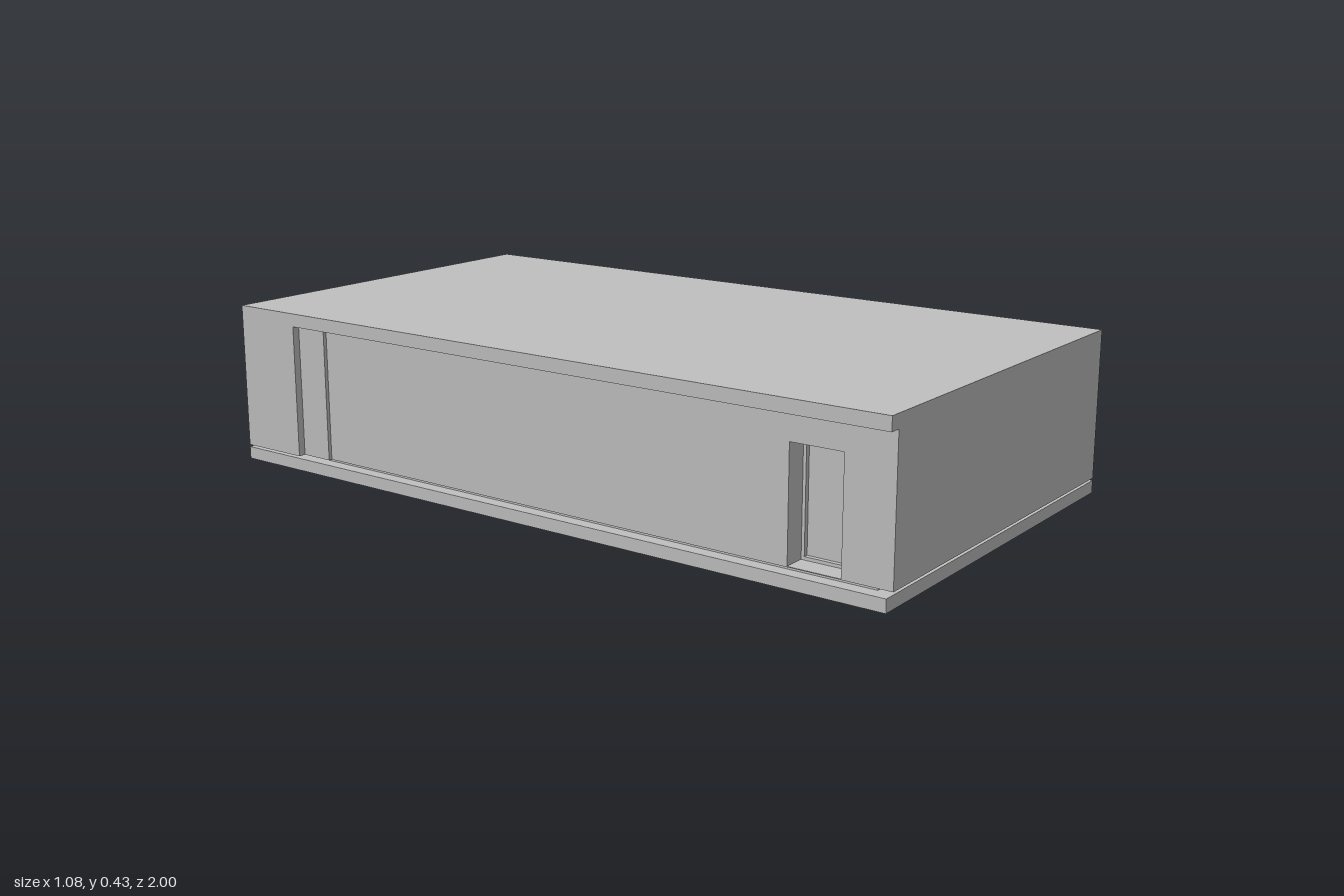
import * as THREE from 'three';

export function createModel() {
  const house = new THREE.Group();
  house.name = 'house';
  const plaster = new THREE.MeshStandardMaterial({ color: 0xc0c0c0 });
  plaster.name = 'grey plaster';

  const FLOOR = 0.039, CEIL = 0.395, RAIL = 0.18, HEAD = 0.345;

  // Box given by its limits on each axis
  function box(name, [x0, x1], [y0, y1], [z0, z1], parent = house) {
    const mesh = new THREE.Mesh(new THREE.BoxGeometry(x1 - x0, y1 - y0, z1 - z0), plaster);
    mesh.position.set((x0 + x1) / 2, (y0 + y1) / 2, (z0 + z1) / 2);
    mesh.name = name;
    parent.add(mesh);
    return mesh;
  }

  // Upright wall with openings; local z = 0 is the outer face, u runs to the viewer's right
  function wall(name, u0, u1, thickness, openings) {
    const group = new THREE.Group();
    group.name = name;
    const rect = (path, a, b, c, d) =>
      path.moveTo(a, c).lineTo(b, c).lineTo(b, d).lineTo(a, d).closePath();
    const shape = rect(new THREE.Shape(), u0, u1, FLOOR, CEIL);
    for (const o of openings) shape.holes.push(rect(new THREE.Path(), o.a, o.b, o.y0, o.y1));
    const geo = new THREE.ExtrudeGeometry(shape, { depth: thickness, bevelEnabled: false });
    geo.translate(0, 0, -thickness);
    const mesh = new THREE.Mesh(geo, plaster);
    mesh.name = 'wallPanel';
    group.add(mesh);
    for (const o of openings) fillOpening(group, o);
    house.add(group);
    return group;
  }

  // Recessed pane, slim frame and mullions
  function fillOpening(group, { a, b, y0, y1, depth = 0.03, panes = 2 }) {
    const f = 0.008, zf = [-depth, -depth + 0.012];
    box('pane', [a, b], [y0, y1], [-depth - 0.006, -depth], group);
    box('frameHead', [a, b], [y1 - f, y1], zf, group);
    box('frameSill', [a, b], [y0, y0 + f], zf, group);
    for (let i = 0; i <= panes; i++) {
      const u = a + ((b - a) * i) / panes;
      const c = Math.min(Math.max(u, a + f / 2), b - f / 2);
      box('frameUpright', [c - f / 2, c + f / 2], [y0 + f, y1 - f], zf, group);
    }
  }

  // Slabs
  box('baseSlab', [-0.54, 0.54], [0, 0.033], [-1, 1]);
  box('floorPlate', [-0.505, 0.5], [0.033, FLOOR], [-0.98, 0.96]);
  box('roofSlab', [-0.54, 0.54], [CEIL, 0.43], [-1, 1]);

  // Front wall
  box('frontWall', [-0.51, 0.54], [FLOOR, CEIL], [0.96, 1]);

  // Left wall with two windows and the panels beneath them (u = -z)
  const windows = [0.096, 0.585];
  const leftWall = wall('leftWall', -0.22, 0.83, 0.04,
    windows.map((c) => ({ a: c - 0.09, b: c + 0.09, y0: RAIL, y1: HEAD })));
  leftWall.rotation.y = Math.PI / 2;
  leftWall.position.x = 0.5;
  for (const c of windows) {
    box('windowPanel', [0.5, 0.51], [FLOOR, RAIL], [-c - 0.112, -c + 0.112]);
  }

  // Side balcony: recessed wall, return wall and parapet
  const balconyWall = wall('balconyWall', -0.96, -0.22, 0.04, [
    { a: -0.826, b: -0.649, y0: FLOOR + 0.005, y1: HEAD },
    { a: -0.45, b: -0.37, y0: 0.2, y1: 0.31, panes: 1 },
  ]);
  balconyWall.rotation.y = Math.PI / 2;
  balconyWall.position.x = 0.354;
  box('balconyReturn', [0.32, 0.46], [FLOOR, CEIL], [0.18, 0.22]);
  box('balconyParapet', [0.51, 0.54], [0.035, RAIL], [0.22, 0.96]);
  box('balconyParapetEnd', [0.5, 0.54], [0.035, RAIL], [0.21, 0.235]);

  // Back wall with glazed doors (u = -x) and two lamps
  const backWall = wall('backWall', -0.5, 0.51, 0.04, [
    { a: -0.1, b: 0.285, y0: FLOOR + 0.005, y1: HEAD },
  ]);
  backWall.rotation.y = Math.PI;
  backWall.position.z = -0.83;
  for (const x of [0.36, -0.345]) {
    box('wallLamp', [x - 0.008, x + 0.008], [0.31, 0.33], [-0.848, -0.83]);
  }

  // Terrace parapet
  box('terraceParapet', [-0.507, 0.5], [0.035, RAIL], [-0.985, -0.96]);
  box('terraceParapetSide', [0.475, 0.5], [0.035, RAIL], [-0.96, -0.83]);

  // Right wall with deep entrance (u = z), end fin and pilaster
  const rightWall = wall('rightWall', -0.83, 1, 0.08, [
    { a: 0.735, b: 0.872, y0: FLOOR + 0.002, y1: 0.325, depth: 0.07, panes: 1 },
  ]);
  rightWall.rotation.y = -Math.PI / 2;
  rightWall.position.x = -0.51;
  box('endFin', [-0.54, -0.507], [FLOOR, CEIL], [-1, -0.8]);
  box('pilaster', [-0.52, -0.507], [FLOOR, CEIL], [-0.8, -0.706]);

  return house;
}
